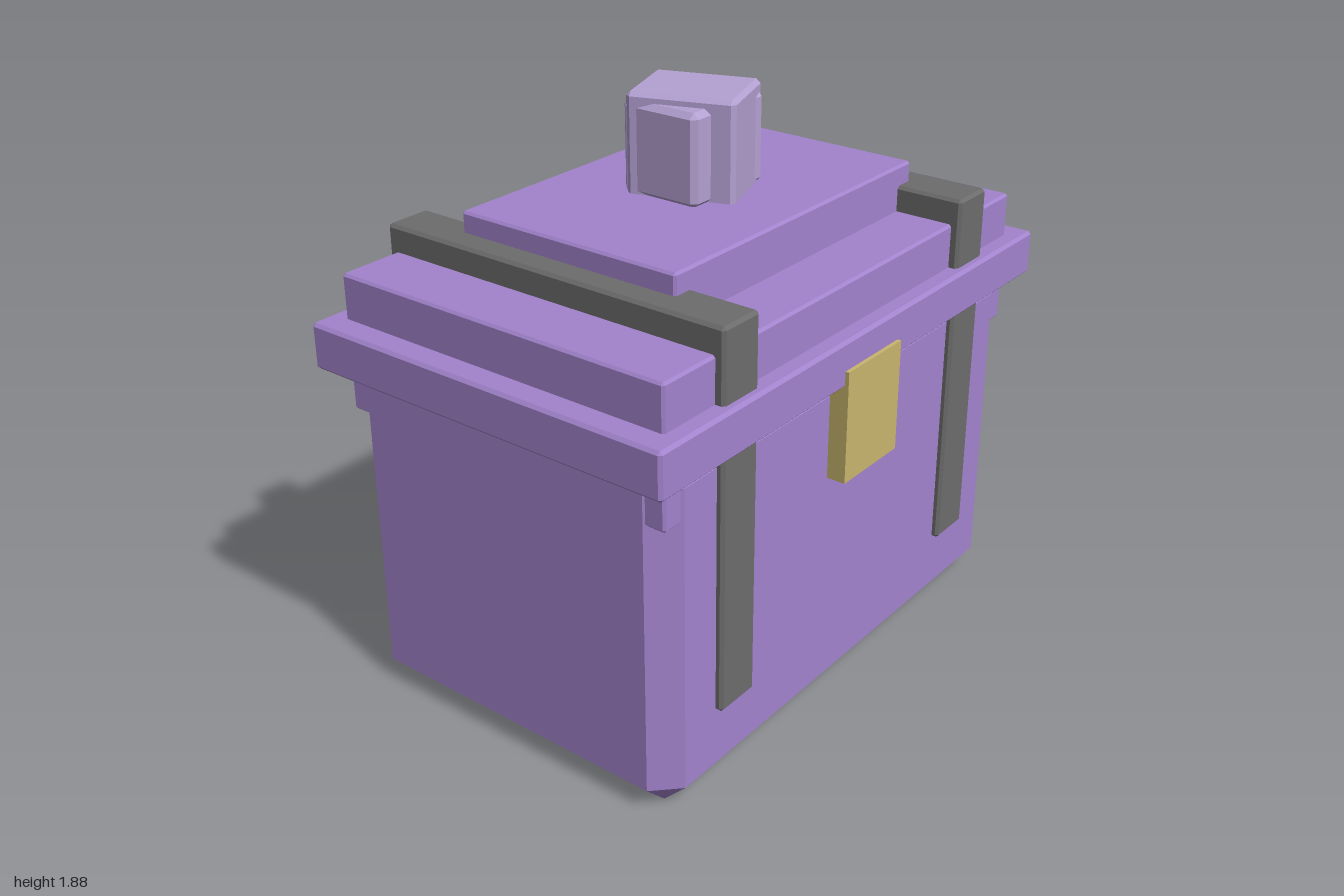
import * as THREE from 'three';
import { ConvexGeometry } from 'three/addons/geometries/ConvexGeometry.js';

// Box between two corners with every edge and corner cut flat by bevel c
function chamferBox(w, h, d, c) {
  const pts = [];
  for (const x of [-1, 1]) for (const y of [-1, 1]) for (const z of [-1, 1]) {
    const X = x * w / 2, Y = y * h / 2, Z = z * d / 2;
    pts.push(
      new THREE.Vector3(X, Y - y * c, Z - z * c),
      new THREE.Vector3(X - x * c, Y, Z - z * c),
      new THREE.Vector3(X - x * c, Y - y * c, Z));
  }
  return new ConvexGeometry(pts);
}

export function createModel() {
  const group = new THREE.Group();
  const mat = (name, color) => {
    const m = new THREE.MeshStandardMaterial({ color });
    m.name = name;
    return m;
  };
  const purple = mat('purple', 0xa283cd);
  const grey = mat('strap grey', 0x6c6c6c);
  const gold = mat('clasp gold', 0xc8b56e);
  const lilac = mat('knob lilac', 0xb4a0d2);
  const midZ = -0.006;

  // Adds a bevelled block of width w and depth d spanning y0 to y1
  function block(name, material, w, d, y0, y1, bevel, x = 0, z = midZ) {
    const mesh = new THREE.Mesh(chamferBox(w, y1 - y0, d, bevel), material);
    mesh.name = name;
    mesh.position.set(x, (y0 + y1) / 2, z);
    group.add(mesh);
    return mesh;
  }

  // Chest body with wide chamfers
  block('body', purple, 1.84, 1.23, 0, 1.16, 0.08);

  // Stepped lid; the inner lid shows at the body's cut corners
  block('innerLid', purple, 1.83, 1.215, 0.97, 1.415, 0.008);
  block('lidRim', purple, 2, 1.33, 1.12, 1.27, 0.01);
  block('lidTop', purple, 1.22, 0.81, 1.3, 1.567, 0.008);

  // Straps wrapping front, top and back
  for (const side of [-1, 1]) {
    block(side > 0 ? 'leftStrap' : 'rightStrap', grey, 0.16, 1.275, 0.27, 1.5, 0.01, side * 0.617);
  }

  // Clasp plate
  const clasp = new THREE.Mesh(new THREE.BoxGeometry(0.288, 0.37, 0.09), gold);
  clasp.name = 'clasp';
  clasp.position.set(0, 0.99, 0.627);
  group.add(clasp);

  // Knob made of two crossed blocks
  block('knobCore', lilac, 0.35, 0.28, 1.56, 1.855, 0.018, -0.003, -0.01);
  block('knobTwisted', lilac, 0.275, 0.345, 1.55, 1.885, 0.014, -0.003, -0.008).rotation.y = 0.34;

  return group;
}
